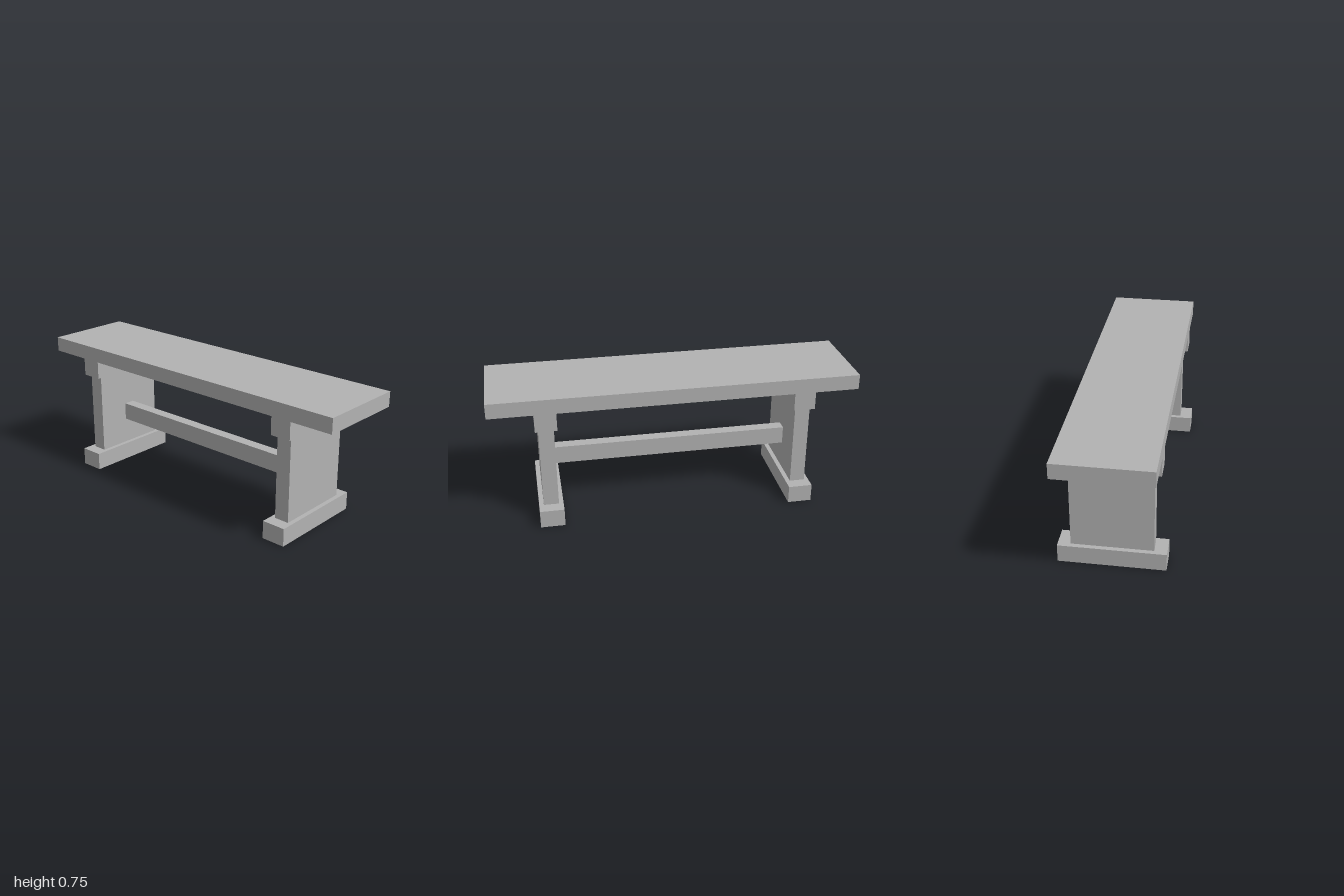
import * as THREE from 'three';

export function createModel() {
  const bench = new THREE.Group();
  bench.name = 'trestleBench';

  const grey = new THREE.MeshStandardMaterial({ color: 0xb2b2b2 });
  grey.name = 'plain grey';

  // Box placed by the height of its underside
  function block(name, parent, width, height, depth, bottom) {
    const mesh = new THREE.Mesh(new THREE.BoxGeometry(width, height, depth), grey);
    mesh.name = name;
    mesh.position.y = bottom + height / 2;
    parent.add(mesh);
    return mesh;
  }

  // Seat plank
  block('seat', bench, 2, 0.083, 0.5, 0.667);

  // Two trestles: foot, upright board and cleat under the seat
  for (const [side, x] of [['left', 0.7], ['right', -0.7]]) {
    const trestle = new THREE.Group();
    trestle.name = side + 'Trestle';
    trestle.position.x = x;
    block('foot', trestle, 0.133, 0.1, 0.567, 0);
    block('upright', trestle, 0.083, 0.467, 0.433, 0.1);
    block('cleat', trestle, 0.117, 0.1, 0.5, 0.567);
    bench.add(trestle);
  }

  // Stretcher between the inner faces of the uprights
  block('stretcher', bench, 1.317, 0.1, 0.063, 0.25);

  return bench;
}
